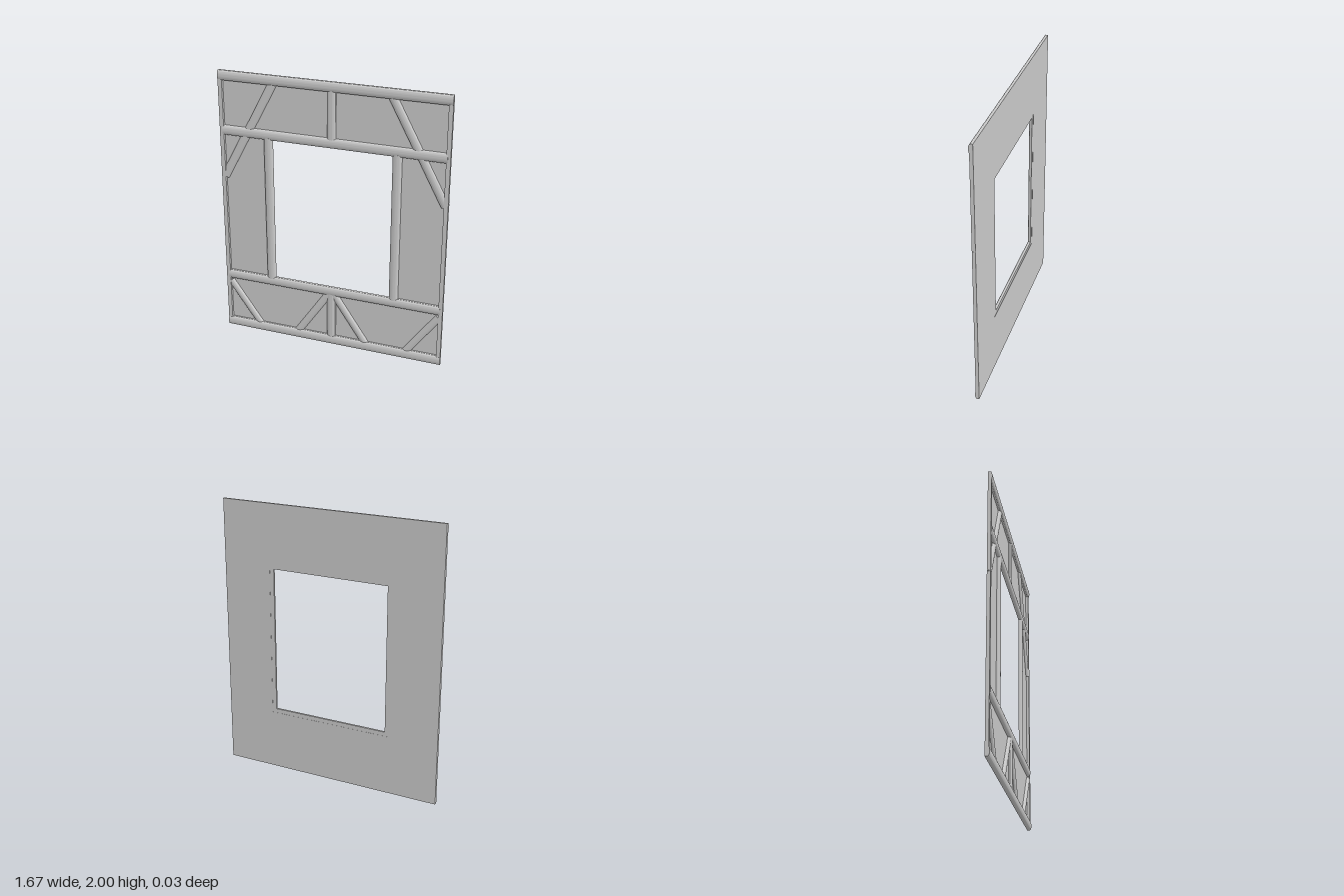
import * as THREE from 'three';
import { toCreasedNormals } from 'three/addons/utils/BufferGeometryUtils.js';

const BACK = -0.015;
const material = new THREE.MeshStandardMaterial({ color: 0xcccccc });

// Timber with a flat back, short straight sides and a rounded front, laid from a to b
function timber(name, [ax, ay], [bx, by], width, front) {
  const w = width / 2, shoulder = front - 0.014;
  const profile = new THREE.Shape();
  profile.moveTo(-w, BACK + 0.001);
  profile.lineTo(w, BACK + 0.001);
  profile.lineTo(w, shoulder);
  profile.absellipse(0, shoulder, w, front - shoulder, 0, Math.PI, false, 0);
  profile.closePath();
  const dir = new THREE.Vector3(bx - ax, by - ay, 0);
  const length = dir.length();
  dir.normalize();
  const geometry = new THREE.ExtrudeGeometry(profile, { depth: length, bevelEnabled: false, curveSegments: 12 });
  geometry.applyMatrix4(new THREE.Matrix4()
    .makeBasis(new THREE.Vector3(-dir.y, dir.x, 0), new THREE.Vector3(0, 0, 1), dir)
    .setPosition(ax, ay, 0));
  const mesh = new THREE.Mesh(toCreasedNormals(geometry, 0.6), material);
  mesh.name = name;
  return mesh;
}

// Plaster sheet with the window opening
function wallPanel() {
  const shape = new THREE.Shape();
  shape.moveTo(-0.83, 0).lineTo(0.83, 0).lineTo(0.83, 2).lineTo(-0.83, 2).closePath();
  const hole = new THREE.Path();
  hole.moveTo(-0.467, 0.44).lineTo(-0.467, 1.567).lineTo(0.467, 1.567).lineTo(0.467, 0.44).closePath();
  shape.holes.push(hole);
  const mesh = new THREE.Mesh(new THREE.ExtrudeGeometry(shape, { depth: 0.004, bevelEnabled: false }), material);
  mesh.position.z = BACK;
  mesh.name = 'wallPanel';
  return mesh;
}

export function createModel() {
  const group = new THREE.Group();
  group.name = 'timberFramedWindowWall';
  group.add(wallPanel());

  // Horizontal beams: sole and top plates, window sill and lintel
  group.add(
    timber('solePlate', [-0.83, 0.035], [0.83, 0.035], 0.07, 0.015),
    timber('topPlate', [-0.83, 1.965], [0.83, 1.965], 0.07, 0.015),
    timber('sillBeam', [-0.81, 0.437], [0.81, 0.437], 0.068, 0.014),
    timber('lintelBeam', [-0.81, 1.57], [0.81, 1.57], 0.068, 0.014),
  );

  // Short studs on the centre line
  group.add(
    timber('lowerStud', [0, 0.04], [0, 0.43], 0.064, 0.01),
    timber('upperStud', [0, 1.58], [0, 1.96], 0.064, 0.01),
  );

  for (const [side, s] of [['left', 1], ['right', -1]]) {
    // Half-width post at the wall end
    const post = new THREE.Mesh(new THREE.BoxGeometry(0.03, 1.93, 0.024), material);
    post.position.set(s * 0.815, 1, BACK + 0.012);
    post.name = side + 'EndPost';
    group.add(post);

    group.add(
      timber(side + 'WindowPost', [s * 0.467, 0.455], [s * 0.467, 1.55], 0.064, 0.012),
      // Long brace crossing behind the lintel
      timber(side + 'UpperBrace', [s * 0.808, 1.225], [s * 0.42, 1.95], 0.06, 0.008),
      // Braces below the window
      timber(side + 'LowerOuterBrace', [s * 0.803, 0.38], [s * 0.565, 0.05], 0.052, 0.008),
      timber(side + 'LowerInnerBrace', [s * 0.013, 0.42], [s * 0.265, 0.05], 0.054, 0.008),
    );
  }
  return group;
}
